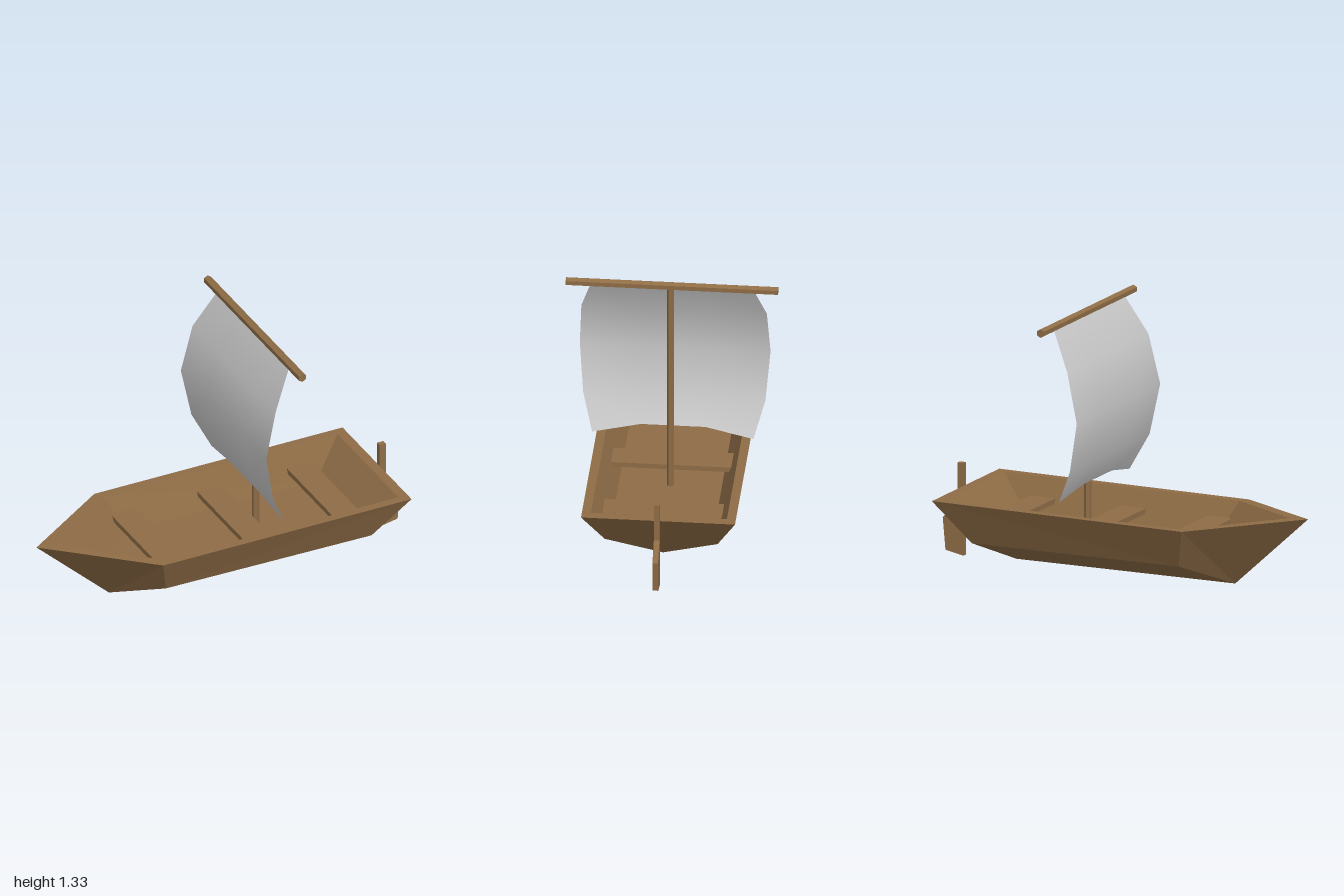
import * as THREE from 'three';

const wood = new THREE.MeshStandardMaterial({ color: 0x8f6d46, flatShading: true });
const cloth = new THREE.MeshStandardMaterial({ color: 0xcccccc, side: THREE.DoubleSide });
const CZ = 0.008; // boat centreline

function add(group, name, geometry, material, x = 0, y = 0, z = 0) {
  const mesh = new THREE.Mesh(geometry, material);
  mesh.name = name;
  mesh.position.set(x, y, z);
  group.add(mesh);
  return mesh;
}

// Five-cornered ring: bow, then shoulder and stern on each side
function ring([bx, by], [sx, sy, sz], [ax, ay, az]) {
  return [[bx, by, 0], [sx, sy, sz], [ax, ay, az], [ax, ay, -az], [sx, sy, -sz]];
}

// Hull as a loft: keel, chine, outer rim, inner rim, floor
function hullGeometry() {
  const rings = [
    ring([-0.6, 0.012], [-0.6, 0.012, 0], [0.6, 0.012, 0]),
    ring([-0.6, 0.012], [-0.425, 0.14, 0.28], [0.71, 0.14, 0.28]),
    ring([-1, 0.38], [-0.49, 0.345, 0.382], [0.88, 0.358, 0.382]),
    ring([-0.9, 0.375], [-0.46, 0.345, 0.337], [0.83, 0.358, 0.337]),
    ring([-0.68, 0.17], [-0.37, 0.17, 0.255], [0.67, 0.17, 0.255]),
  ];
  const pos = [];
  const tri = (a, b, c) => {
    const same = (p, q) => p.every((v, i) => v === q[i]);
    if (!same(a, b) && !same(b, c) && !same(a, c)) pos.push(...a, ...b, ...c);
  };
  for (let r = 0; r < rings.length - 1; r++) {
    for (let i = 0; i < 5; i++) {
      const j = (i + 1) % 5;
      const [a, b, c, d] = [rings[r][i], rings[r][j], rings[r + 1][j], rings[r + 1][i]];
      // mirrored diagonals keep both sides alike
      if (i < 3) { tri(a, b, c); tri(a, c, d); } else { tri(a, b, d); tri(b, c, d); }
    }
  }
  const floor = rings[4];
  for (let i = 1; i < 4; i++) tri(floor[0], floor[i], floor[i + 1]);
  const geo = new THREE.BufferGeometry();
  geo.setAttribute('position', new THREE.Float32BufferAttribute(pos, 3));
  geo.computeVertexNormals();
  return geo;
}

// Billowing sail: rows of [x, y, half width], lower edge raised in the middle
function sailGeometry() {
  const rows = [[0.2, 1.31, 0.4], [0.095, 1.11, 0.46], [0.037, 0.86, 0.473], [0.085, 0.605, 0.452], [0.17, 0.43, 0.4]];
  const cols = [-1, -0.4, 0.4, 1];
  const geo = new THREE.PlaneGeometry(1, 1, cols.length - 1, rows.length - 1);
  const p = geo.attributes.position;
  rows.forEach(([x, y, w], r) => cols.forEach((c, k) => {
    const raised = r === rows.length - 1 && Math.abs(c) < 1;
    p.setXYZ(r * cols.length + k, raised ? x - 0.02 : x, raised ? 0.475 : y, c * w);
  }));
  geo.computeVertexNormals();
  return geo;
}

// Rudder: flat blade with an upright stock
function rudderGeometry() {
  const outline = [[0.885, 0], [0.985, 0.02], [1, 0.185], [0.92, 0.27], [0.92, 0.47], [0.885, 0.47]];
  const shape = new THREE.Shape(outline.map(([x, y]) => new THREE.Vector2(x, y)));
  return new THREE.ExtrudeGeometry(shape, { depth: 0.028, bevelEnabled: false }).translate(0, 0, -0.014);
}

export function createModel() {
  const boat = new THREE.Group();
  boat.name = 'sailboat';

  add(boat, 'hull', hullGeometry(), wood, 0, 0, CZ);

  // Three plank seats across the hull
  [-0.375, 0.105, 0.6].forEach((x, i) =>
    add(boat, 'bench' + (i + 1), new THREE.BoxGeometry(0.14, 0.026, 0.62), wood, x, 0.25, CZ));

  // Mast, yard and sail
  add(boat, 'mast', new THREE.CylinderGeometry(0.018, 0.018, 1.14, 6), wood, 0.21, 0.74, CZ);
  const yard = add(boat, 'yard', new THREE.CylinderGeometry(0.022, 0.022, 1.052, 6), wood, 0.21, 1.312, 0);
  yard.rotation.x = Math.PI / 2;
  add(boat, 'sail', sailGeometry(), cloth, 0, 0, 0);

  add(boat, 'rudder', rudderGeometry(), wood, 0, 0, CZ + 0.003);

  return boat;
}
